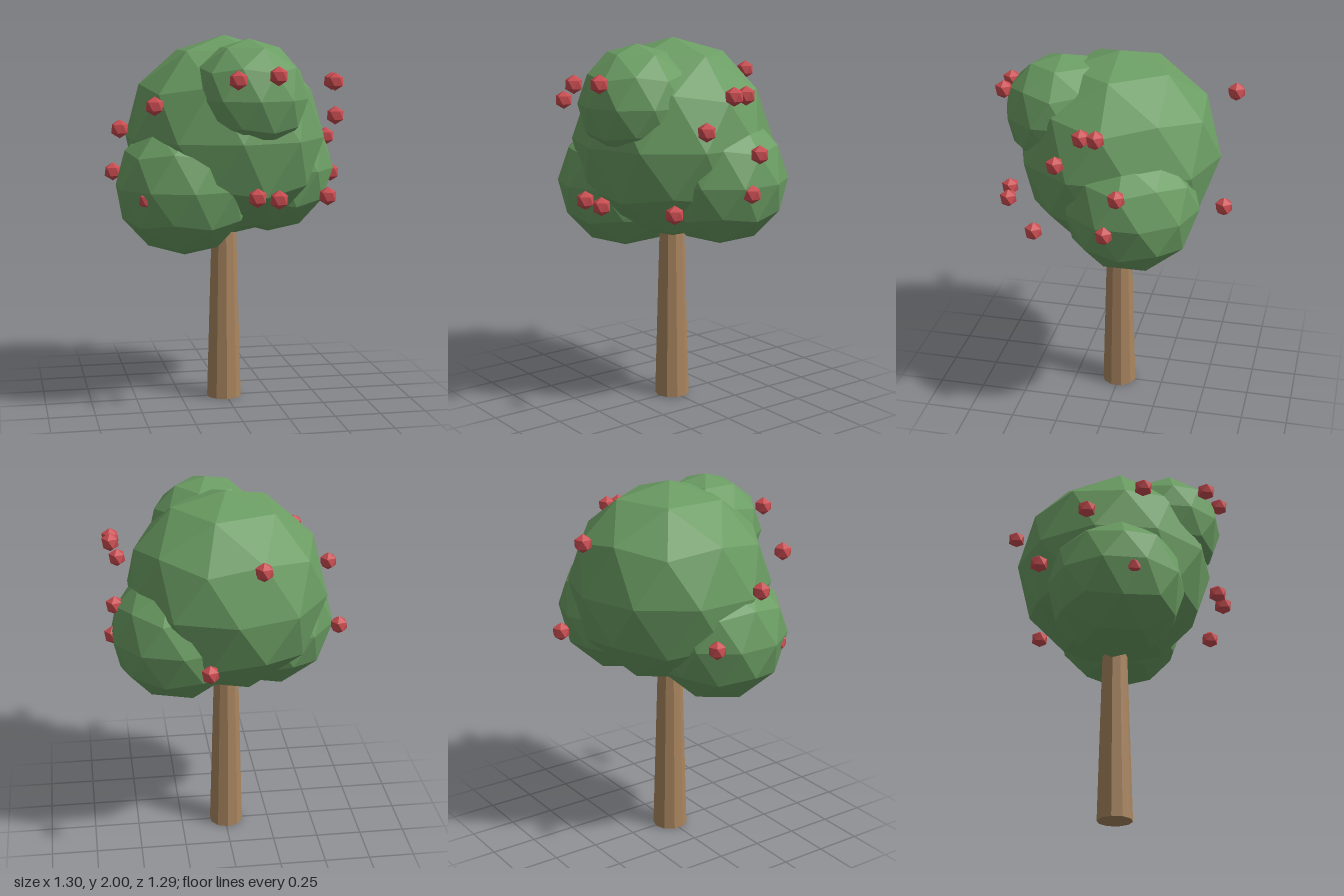
import * as THREE from 'three';

const leafGreen = new THREE.MeshStandardMaterial({ color: 0x6b9d63, flatShading: true });
leafGreen.name = 'leaf green';
const barkBrown = new THREE.MeshStandardMaterial({ color: 0xa9855f, flatShading: true });
barkBrown.name = 'bark brown';
const appleRed = new THREE.MeshStandardMaterial({ color: 0xc94c50, flatShading: true });
appleRed.name = 'apple red';

// Faceted ball with a corner at each pole and one upper corner towards +x
function facetedBall(radius, detail) {
  const geometry = new THREE.IcosahedronGeometry(radius, detail);
  geometry.rotateZ(-Math.atan2(1, (1 + Math.sqrt(5)) / 2));
  geometry.computeVertexNormals();
  return geometry;
}

function addMesh(parent, name, geometry, material, position) {
  const mesh = new THREE.Mesh(geometry, material);
  mesh.name = name;
  mesh.position.set(...position);
  parent.add(mesh);
  return mesh;
}

export function createModel() {
  const tree = new THREE.Group();
  tree.name = 'appleTree';

  // Tapered ten-sided trunk, running up into the crown
  const height = 1.2;
  addMesh(tree, 'trunk', new THREE.CylinderGeometry(0.061, 0.095, height, 10), barkBrown, [-0.008, height / 2, 0]);

  // Crown: one large ball and three smaller ones
  const crown = new THREE.Group();
  crown.name = 'crown';
  tree.add(crown);
  const foliage = [
    ['mainFoliage', 0.545, [-0.007, 1.455, -0.003]],
    ['rightFoliage', 0.372, [-0.25, 1.207, 0.145]],
    ['leftFoliage', 0.363, [0.265, 1.268, -0.12]],
    ['frontFoliage', 0.31, [0.07, 1.675, 0.285]],
  ];
  for (const [name, radius, position] of foliage) {
    addMesh(crown, name, facetedBall(radius, 1), leafGreen, position);
  }

  // Apples in a ring around the crown
  const apples = new THREE.Group();
  apples.name = 'apples';
  tree.add(apples);
  const appleGeometry = facetedBall(0.05, 0);
  const applePositions = [
    [-0.047, 1.785, 0.597], [0.162, 1.803, 0.578], [0.052, 1.195, 0.6], [0.168, 1.18, 0.577],
    [0.485, 1.16, 0.348], [0.56, 1.575, 0.205], [0.597, 1.747, 0.062], [0.6, 1.747, -0.012],
    [0.594, 1.435, -0.113], [0.608, 1.238, -0.053], [0.145, 1.238, -0.592], [-0.118, 1.78, -0.602],
    [-0.603, 1.26, -0.125], [-0.592, 1.517, 0.157], [-0.442, 1.65, 0.415], [-0.477, 1.167, 0.373],
  ];
  for (const position of applePositions) {
    addMesh(apples, 'apple', appleGeometry, appleRed, position);
  }

  return tree;
}
